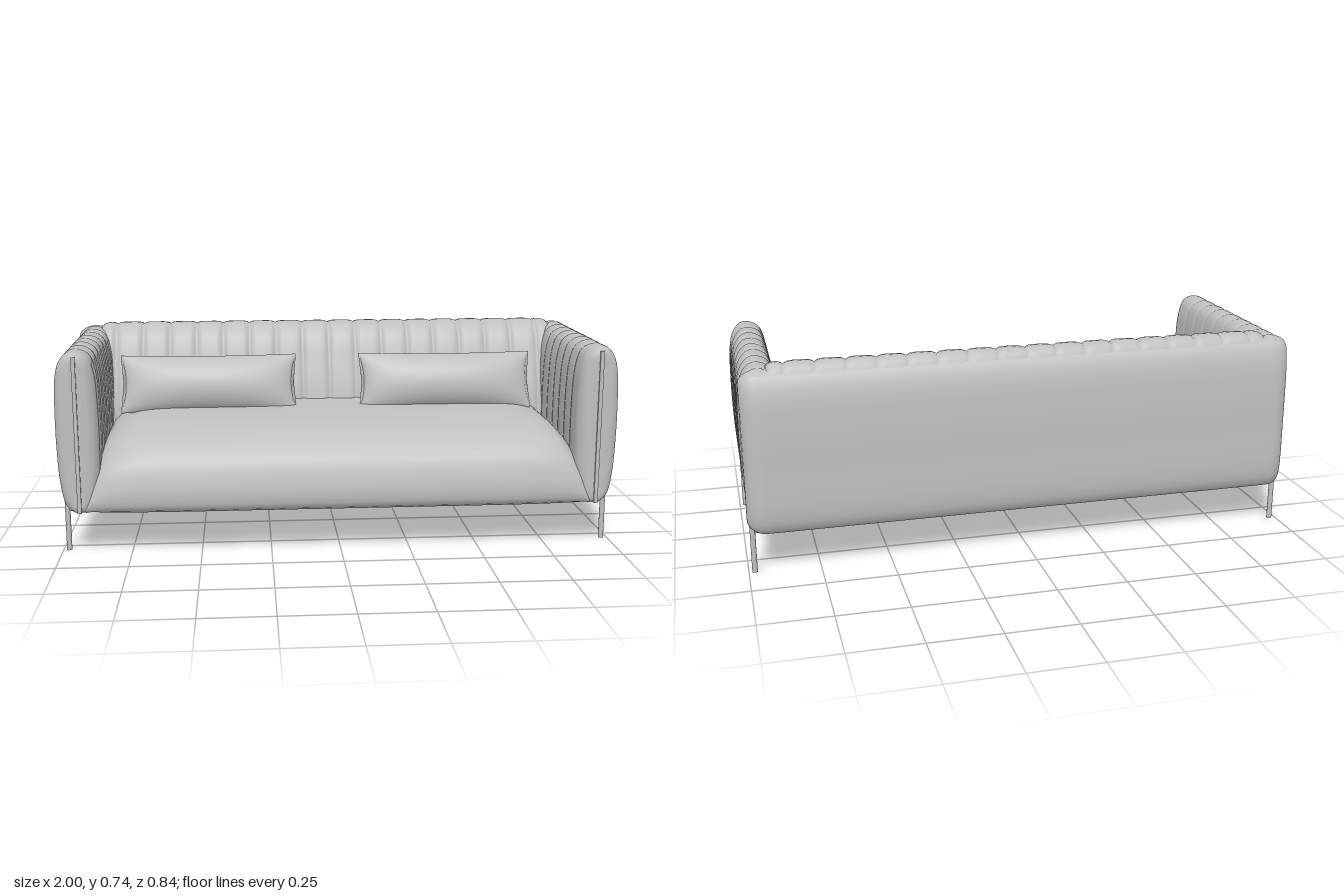
import * as THREE from 'three';

const fabric = new THREE.MeshStandardMaterial({ color: 0xc0c0c0 });
fabric.name = 'light grey';

// Smooth closed outline through a few 2D points
function outline(points, n) {
  const curve = new THREE.CatmullRomCurve3(points.map(([a, b]) => new THREE.Vector3(a, b, 0)), true);
  return curve.getSpacedPoints(n).slice(0, n);
}

// Skin closed rings of points into a capped solid, facing outward
function loft(rings) {
  const n = rings[0].length;
  const pos = [];
  let idx = [];
  rings.forEach((r) => r.forEach((p) => pos.push(...p)));
  for (let i = 0; i < rings.length - 1; i++) {
    for (let j = 0; j < n; j++) {
      const a = i * n + j, b = i * n + (j + 1) % n;
      idx.push(a, b, a + n, b, b + n, a + n);
    }
  }
  [rings[0], rings[rings.length - 1]].forEach((r, end) => {
    const start = pos.length / 3;
    r.forEach((p) => pos.push(...p));
    pos.push(...[0, 1, 2].map((k) => r.reduce((s, p) => s + p[k], 0) / n));
    for (let j = 0; j < n; j++) {
      const a = start + j, b = start + (j + 1) % n;
      idx.push(...(end ? [a, b, start + n] : [b, a, start + n]));
    }
  });
  // Flip the winding when the signed volume is negative
  const v = (i) => new THREE.Vector3(pos[i * 3], pos[i * 3 + 1], pos[i * 3 + 2]);
  let volume = 0;
  for (let i = 0; i < idx.length; i += 3) volume += v(idx[i]).dot(v(idx[i + 1]).cross(v(idx[i + 2])));
  if (volume < 0) idx = idx.reverse();
  const g = new THREE.BufferGeometry();
  g.setAttribute('position', new THREE.Float32BufferAttribute(pos, 3));
  g.setIndex(idx);
  g.computeVertexNormals();
  return g;
}

const steps = (n, f) => Array.from({ length: n + 1 }, (_, i) => f(i / n));
// Narrow stitched groove repeating at a given pitch: 1 in the seam, 0 between
const groove = (t, pitch) => Math.pow(1 - Math.abs(Math.sin(Math.PI * t / pitch)), 3);
// Inset of a rounded end at distance d from the end
const roundEnd = (d, r) => (d >= r ? 0 : r - Math.sqrt(r * r - (r - d) * (r - d)));

// Channelled arm, with sections in x and y swept along z
function armGeometry(side) {
  const section = outline([[0.945, 0.157], [0.975, 0.185], [0.992, 0.26], [1, 0.4], [1, 0.54], [0.996, 0.63],
    [0.98, 0.695], [0.95, 0.728], [0.915, 0.73], [0.88, 0.71], [0.86, 0.65], [0.852, 0.55], [0.85, 0.4],
    [0.855, 0.25], [0.87, 0.17], [0.91, 0.156]], 72);
  const z0 = -0.38, z1 = 0.39, cx = 0.925, cy = 0.443;
  return loft(steps(180, (t) => {
    const s = 0.5 - 0.5 * Math.cos(Math.PI * t);
    const z = z0 + (z1 - z0) * (0.4 * s + 0.6 * t);
    const inset = roundEnd(Math.min(z - z0, z1 - z), 0.05);
    const g = z < 0.32 ? groove(z - 0.01, 0.085) : 0;
    return section.map((p) => {
      const depth = p.x > cx ? 0.16 : 0.04;
      const x = cx + (p.x - cx) * (1 - inset / 0.075) * (1 - depth * g);
      const y = cy + (p.y - cy) * (1 - 0.4 * inset / 0.287) * (1 - 0.016 * g);
      return [side * x, y, z];
    });
  }));
}

// Smooth outer back, with rounded corners
function backShellGeometry() {
  const section = outline([[-0.395, 0.157], [-0.416, 0.2], [-0.42, 0.4], [-0.417, 0.55], [-0.407, 0.65],
    [-0.383, 0.71], [-0.345, 0.728], [-0.3, 0.7], [-0.28, 0.55], [-0.28, 0.3], [-0.3, 0.16]], 56);
  return loft(steps(80, (t) => {
    const x = -0.995 * Math.cos(Math.PI * t);
    const inset = roundEnd(0.995 - Math.abs(x), 0.065);
    return section.map((p) => [x, 0.443 + (p.y - 0.443) * (1 - 0.7 * inset / 0.287),
      -0.35 + (p.x + 0.35) * (1 - inset / 0.072)]);
  }));
}

// Channelled inner back that slopes forward to the seat
function backCushionGeometry() {
  const section = outline([[-0.39, 0.2], [-0.395, 0.5], [-0.39, 0.68], [-0.365, 0.735], [-0.325, 0.744],
    [-0.28, 0.732], [-0.24, 0.69], [-0.2, 0.59], [-0.165, 0.47], [-0.15, 0.35], [-0.17, 0.2]], 56);
  return loft(steps(240, (t) => {
    const x = -0.9 + 1.8 * t;
    const inset = roundEnd(0.9 - Math.abs(x), 0.05);
    const g = groove(x, 0.105);
    return section.map((p) => [x, p.y - (p.y > 0.6 ? 0.007 * g + 0.3 * inset : 0),
      p.x - (p.x > -0.3 ? 0.012 * g : 0)]);
  }));
}

// Single soft seat with a rolled front and sloping ends
function seatGeometry() {
  const section = outline([[-0.34, 0.162], [-0.34, 0.3], [-0.3, 0.44], [-0.1, 0.45], [0.1, 0.446], [0.23, 0.43],
    [0.32, 0.4], [0.385, 0.345], [0.41, 0.28], [0.418, 0.215], [0.405, 0.168], [0.36, 0.158], [0.1, 0.158]], 90);
  return loft(steps(100, (t) => {
    const u = -Math.cos(Math.PI * t);
    const rise = Math.sqrt(Math.max(0.02, 1 - Math.pow(Math.abs(u), 12)));
    return section.map((p) => [0.905 * u, 0.158 + (p.y - 0.158) * rise,
      p.x - (p.x > 0 ? 0.03 * Math.pow(u, 8) * p.x / 0.4 : 0)]);
  }));
}

// Plump pillow with pinched edges and pointed corners
function pillowGeometry() {
  const n = 56;
  return loft(steps(48, (t) => {
    const u = -Math.cos(Math.PI * t);
    const thick = 0.004 + 0.072 * Math.pow(Math.max(0, 1 - u * u), 0.6);
    return steps(n - 1, (k) => {
      const a = 2 * Math.PI * k * (n - 1) / n;
      const v = Math.cos(a), s = Math.sin(a);
      return [0.337 * u * (1 - 0.06 * (1 - v * v) * u * u), 0.112 * v * (1 - 0.05 * (1 - u * u)),
        Math.sign(s) * Math.pow(Math.abs(s), 1.2) * thick];
    });
  }));
}

export function createModel() {
  const sofa = new THREE.Group();
  sofa.name = 'sofa';
  const add = (name, geometry, x = 0, y = 0, z = 0) => {
    const mesh = new THREE.Mesh(geometry, fabric);
    mesh.name = name;
    mesh.position.set(x, y, z);
    sofa.add(mesh);
    return mesh;
  };

  add('backShell', backShellGeometry());
  add('backCushion', backCushionGeometry());
  add('seat', seatGeometry());

  for (const side of [1, -1]) {
    const label = side > 0 ? 'left' : 'right';
    add(label + 'Arm', armGeometry(side));
    // Raised seam down the front of the arm
    add(label + 'ArmSeam', new THREE.BoxGeometry(0.014, 0.555, 0.03), side * 0.923, 0.44, 0.381);
    // Slim legs, each with a bracket under the arm
    for (const [end, z] of [['Front', 0.295], ['Back', -0.348]]) {
      add(label + end + 'Leg', new THREE.CylinderGeometry(0.0095, 0.0095, 0.222, 20), side * 0.979, 0.111, z);
      const bracket = add(label + end + 'LegBracket', new THREE.CylinderGeometry(0.007, 0.007, 0.07, 16),
        side * 0.944, 0.152, z);
      bracket.rotation.z = Math.PI / 2;
    }
  }

  // Two pillows leaning on the back
  for (const [name, x] of [['rightPillow', -0.475], ['leftPillow', 0.443]]) {
    add(name, pillowGeometry(), x, 0.534, -0.085).rotation.x = -0.32;
  }
  return sofa;
}
